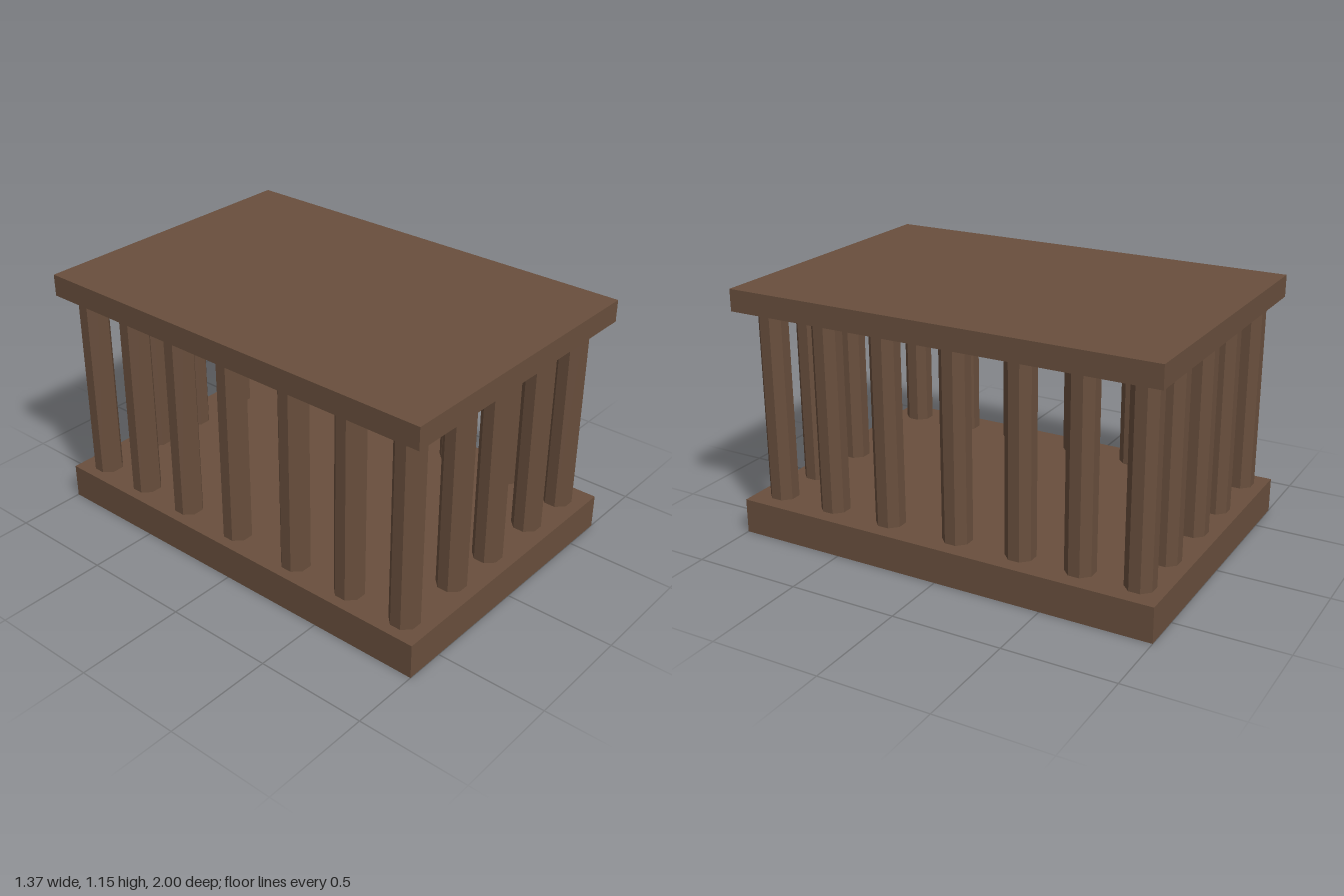
import * as THREE from 'three';

const WIDTH = 1.37, DEPTH = 2;
const BASE_TOP = 0.16, ROOF_BOTTOM = 1.047, ROOF_TOP = 1.147;
const APOTHEM = 0.0615;

export function createModel() {
  const group = new THREE.Group();
  const wood = new THREE.MeshStandardMaterial({ color: 0x694f3d, flatShading: true });
  wood.name = 'brown wood';

  // Flat slab between two heights
  const addSlab = (name, bottom, top) => {
    const slab = new THREE.Mesh(new THREE.BoxGeometry(WIDTH, top - bottom, DEPTH), wood);
    slab.name = name;
    slab.position.y = (bottom + top) / 2;
    group.add(slab);
  };
  addSlab('baseSlab', 0, BASE_TOP);
  addSlab('roofSlab', ROOF_BOTTOM, ROOF_TOP);

  // Octagonal posts around the edge, flat sides facing outwards
  const postGeometry = new THREE.CylinderGeometry(
    APOTHEM / Math.cos(Math.PI / 8), APOTHEM / Math.cos(Math.PI / 8),
    ROOF_BOTTOM - BASE_TOP, 8);
  postGeometry.rotateY(Math.PI / 8);

  const xs = [-0.575, -0.26, 0, 0.3, 0.555];
  const zs = [0.88, 0.595, 0.3, -0.04, -0.345, -0.62, -0.885];
  const posts = new THREE.Group();
  posts.name = 'posts';
  xs.forEach((x, i) => zs.forEach((z, j) => {
    const onEdge = i === 0 || i === xs.length - 1 || j === 0 || j === zs.length - 1;
    if (!onEdge) return;
    const post = new THREE.Mesh(postGeometry, wood);
    post.name = 'post';
    post.position.set(x, (BASE_TOP + ROOF_BOTTOM) / 2, z);
    posts.add(post);
  }));
  group.add(posts);

  return group;
}
